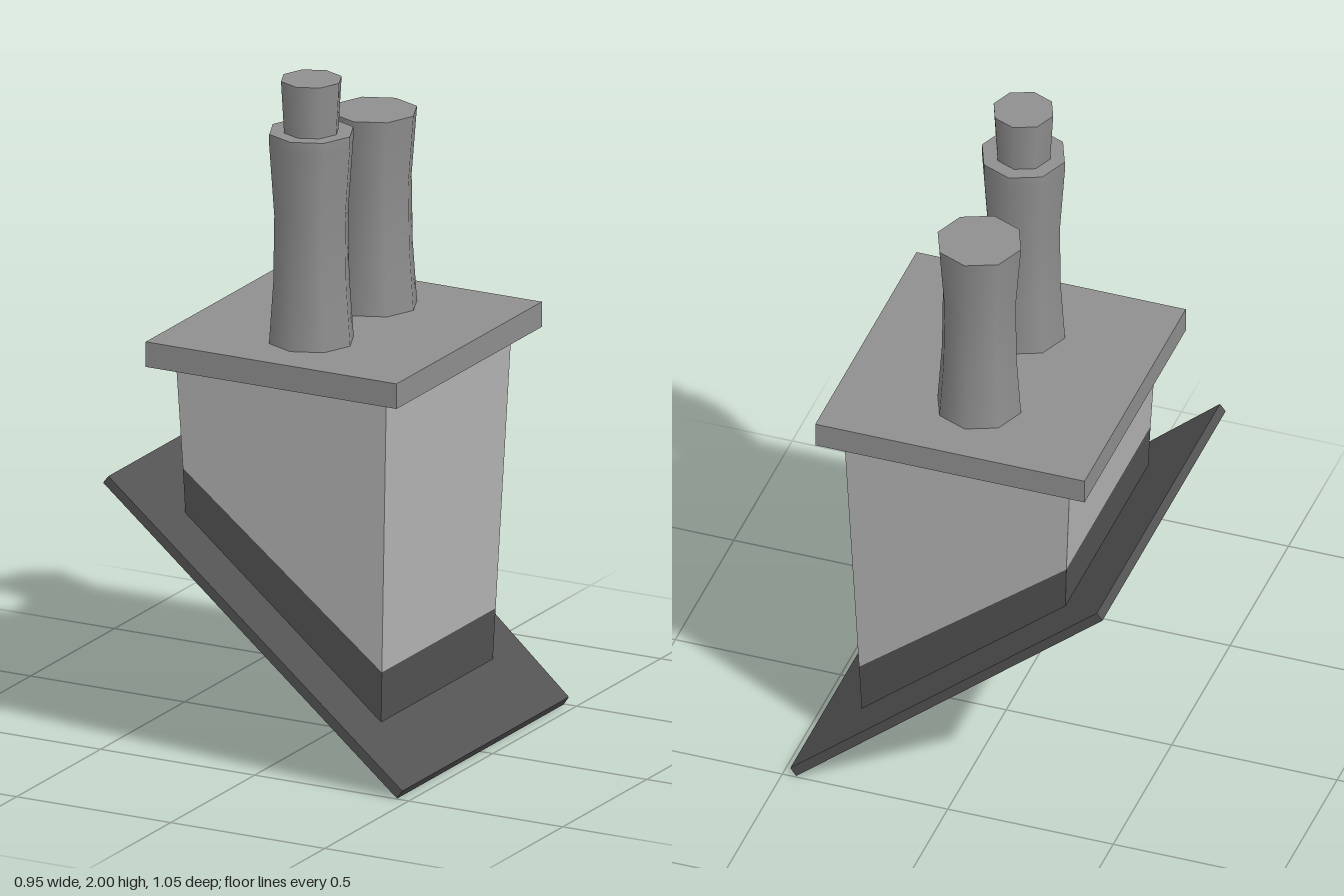
import * as THREE from 'three';

const render = new THREE.MeshStandardMaterial({ name: 'pale render', color: 0xb6b6b6 });
const clay = new THREE.MeshStandardMaterial({ name: 'mid grey clay', color: 0x909090 });
const lead = new THREE.MeshStandardMaterial({ name: 'dark lead', color: 0x535353 });

function addMesh(parent, name, geometry, material) {
  const mesh = new THREE.Mesh(geometry, material);
  mesh.name = name;
  parent.add(mesh);
  return mesh;
}

// Six-sided block symmetrical in z; each end is given as [x, y, half depth] for
// left and right, lower and upper
function block(lowLeft, lowRight, highLeft, highRight) {
  const ring = (l, r) => [
    [l[0], l[1], l[2]], [r[0], r[1], r[2]],
    [r[0], r[1], -r[2]], [l[0], l[1], -l[2]],
  ];
  const a = ring(lowLeft, lowRight);
  const b = ring(highLeft, highRight);
  const points = [];
  const quad = (p, q, r, s) => points.push(...p, ...q, ...r, ...p, ...r, ...s);
  for (let i = 0; i < 4; i++) {
    const j = (i + 1) % 4;
    quad(a[i], a[j], b[j], b[i]);
  }
  quad(b[0], b[1], b[2], b[3]);
  quad(a[3], a[2], a[1], a[0]);
  const geometry = new THREE.BufferGeometry();
  geometry.setAttribute('position', new THREE.Float32BufferAttribute(points, 3));
  geometry.computeVertexNormals();
  return geometry;
}

// Eight-sided pot with smooth sides and a flat lid
function pot(name, profile) {
  const group = new THREE.Group();
  group.name = name;
  const points = profile.map(([r, y]) => new THREE.Vector2(r, y));
  addMesh(group, name + 'Side', new THREE.LatheGeometry(points, 8), clay);
  const [radius, top] = profile[profile.length - 1];
  const lid = addMesh(group, name + 'Lid', new THREE.CircleGeometry(radius, 8), clay);
  lid.rotation.x = -Math.PI / 2;
  lid.position.y = top;
  return group;
}

export function createModel() {
  const model = new THREE.Group();
  model.name = 'chimney';

  // Sloping sheet that lies on the roof
  addMesh(model, 'roofSheet', block(
    [-0.477, 0.81, 0.527], [0.46, 0.0, 0.496],
    [-0.46, 0.832, 0.527], [0.477, 0.025, 0.496]), lead);

  // The stack narrows downwards: half depth depends on height
  const at = (x, y) => [x, y, 0.333 + 0.041 * (y - 0.17)];
  addMesh(model, 'flashing', block(
    at(-0.304, 0.69), at(0.319, 0.155), at(-0.309, 0.832), at(0.325, 0.312)), lead);
  addMesh(model, 'stack', block(
    at(-0.309, 0.832), at(0.325, 0.312), at(-0.324, 1.146), at(0.358, 1.146)), render);

  // Cap slab
  const slab = addMesh(model, 'capSlab', new THREE.BoxGeometry(0.814, 0.075, 0.866), clay);
  slab.position.set(0.017, 1.181, 0);

  // Pots, one with a narrower liner on top
  const shaft = [[0.126, 1.218], [0.113, 1.4], [0.11, 1.6]];
  const tall = pot('tallPot', [...shaft, [0.125, 1.81], [0.125, 1.845]]);
  const liner = pot('potLiner', [[0.081, 1.845], [0.09, 2.0]]);
  const short = pot('shortPot', [...shaft, [0.126, 1.8]]);
  tall.position.set(0.015, 0, 0.19);
  liner.position.set(0.015, 0, 0.19);
  short.position.set(0.015, 0, -0.187);
  model.add(tall, liner, short);

  return model;
}
